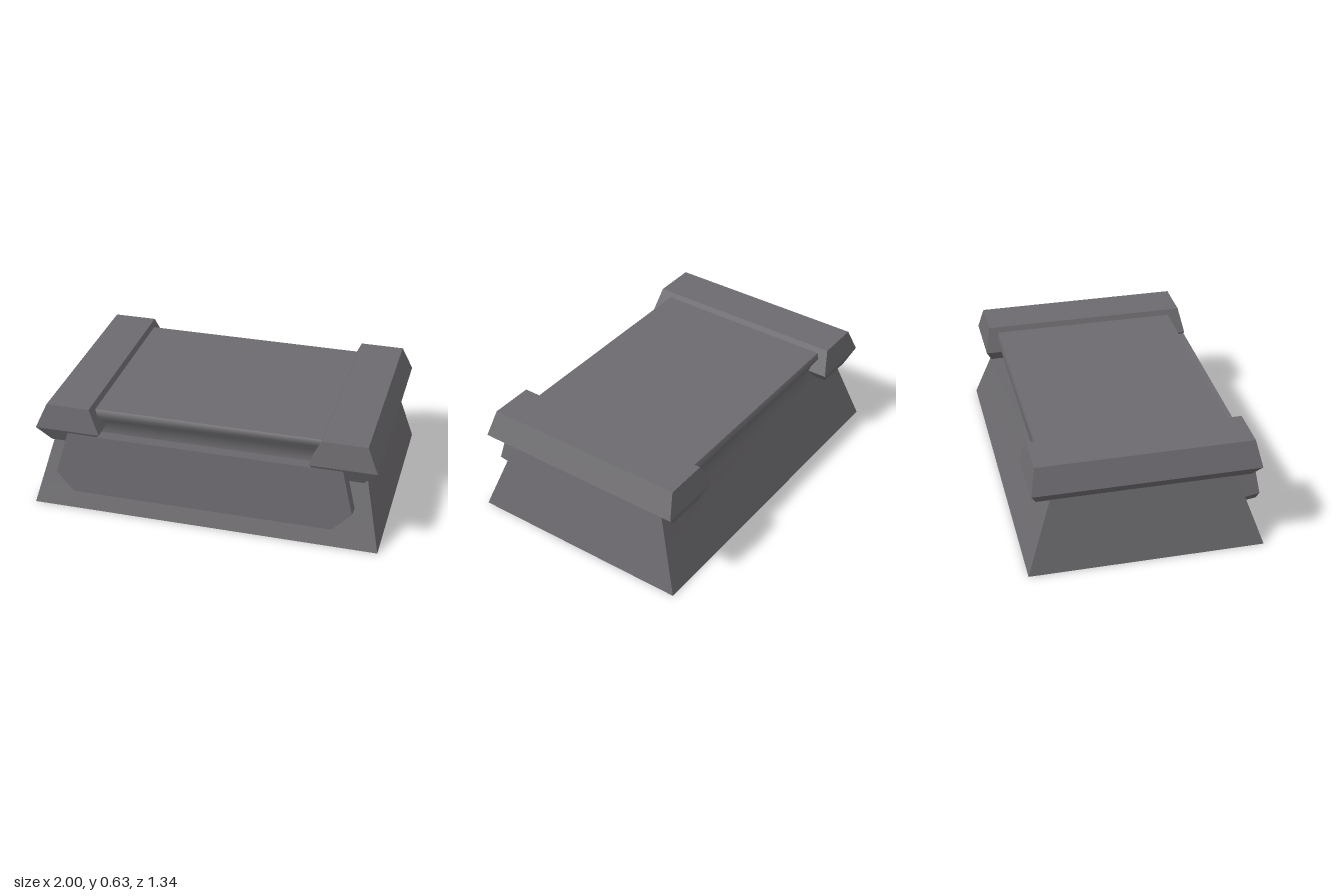
import * as THREE from 'three';
import { mergeGeometries } from 'three/addons/utils/BufferGeometryUtils.js';

// Rectangle corners, counter-clockwise seen from above
const CORNERS = [[1, 1], [1, -1], [-1, -1], [-1, 1]];

function surface(points, index, smooth) {
  let g = new THREE.BufferGeometry();
  g.setAttribute('position', new THREE.Float32BufferAttribute(points, 3));
  g.setIndex(index);
  g = smooth ? g : g.toNonIndexed();
  g.computeVertexNormals();
  return smooth ? g.toNonIndexed() : g;
}

// Skins a stack of rectangles, each row being [y, half width, half depth]
function loft(rows, { smooth = false, bottom = true } = {}) {
  const at = ([y, w, d], c) => [CORNERS[c][0] * w, y, CORNERS[c][1] * d];
  const parts = [];
  for (let s = 0; s < 4; s++) {
    const points = [], index = [];
    rows.forEach((row, i) => {
      points.push(...at(row, s), ...at(row, (s + 1) % 4));
      const k = 2 * i;
      if (i < rows.length - 1) index.push(k, k + 1, k + 3, k, k + 3, k + 2);
    });
    parts.push(surface(points, index, smooth));
  }
  const cap = (row, index) => parts.push(surface([0, 1, 2, 3].flatMap(c => at(row, c)), index, false));
  cap(rows[rows.length - 1], [0, 1, 2, 0, 2, 3]);
  if (bottom) cap(rows[0], [0, 2, 1, 0, 3, 2]);
  return mergeGeometries(parts);
}

export function createModel() {
  const group = new THREE.Group();
  const grey = new THREE.MeshStandardMaterial({ color: 0x6c6a6e, side: THREE.DoubleSide });
  grey.name = 'dark grey';

  const add = (name, geometry, x, y, z) => {
    const mesh = new THREE.Mesh(geometry, grey);
    mesh.name = name;
    mesh.position.set(x, y, z);
    group.add(mesh);
    return mesh;
  };

  // Hollow base, open below, flaring out to a lip around the flat top
  const profile = [[0, 0.657], [0.4, 0.515], [0.46, 0.502], [0.52, 0.518], [0.57, 0.551], [0.6, 0.536]];
  const rows = profile.map(([y, d]) => [y, 1 - 0.25 * y, d]);
  add('base', loft(rows, { smooth: true, bottom: false }), 0, 0, -0.014);

  // Bevelled rails along both sides
  const railRows = [[0.405, 0.11, 0.592], [0.49, 0.187, 0.628], [0.63, 0.125, 0.598]];
  for (const [name, side] of [['leftRail', 1], ['rightRail', -1]]) {
    add(name, loft(railRows), side * 0.785, 0, -0.008);
  }

  // Leaning front plate with clipped lower corners
  const outline = [[-0.745, 0], [0.745, 0], [0.85, 0.106], [0.785, 0.349], [-0.785, 0.349], [-0.85, 0.106]];
  const plate = new THREE.ExtrudeGeometry(
    new THREE.Shape(outline.map(([x, y]) => new THREE.Vector2(x, y))),
    { depth: 0.088, bevelEnabled: false });
  plate.translate(0, 0, -0.088);
  add('frontPlate', plate, 0, 0.131, 0.67).rotation.x = -0.15;

  return group;
}
